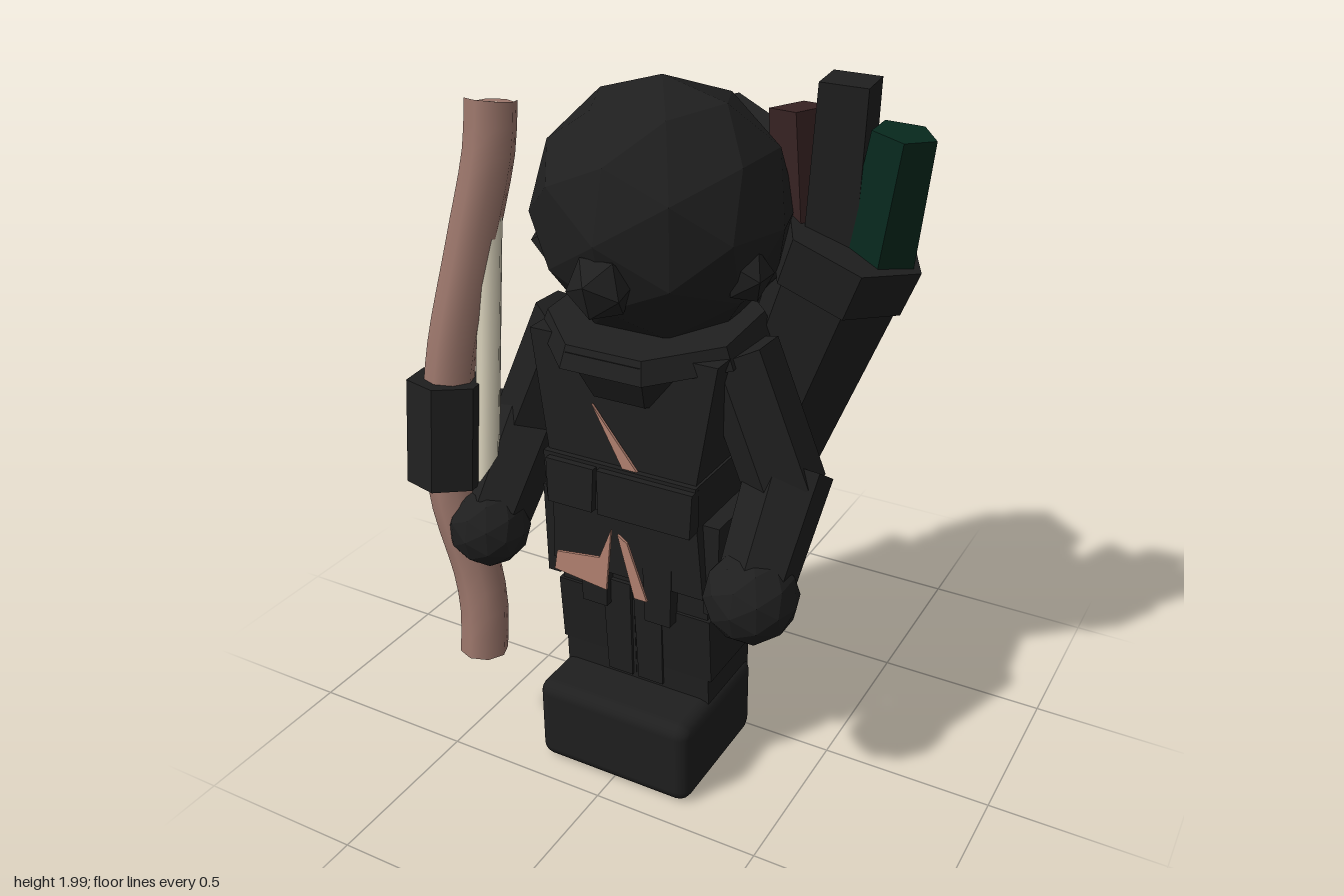
import * as THREE from 'three';
import { RoundedBoxGeometry } from 'three/addons/geometries/RoundedBoxGeometry.js';

const mat = (name, color) => {
  const m = new THREE.MeshStandardMaterial({ color });
  m.name = name;
  return m;
};
const V = (x, y, z) => new THREE.Vector3(x, y, z);

// Faceted copy of a geometry
function flat(geometry) {
  const g = geometry.index ? geometry.toNonIndexed() : geometry;
  g.computeVertexNormals();
  return g;
}

export function createModel() {
  const model = new THREE.Group();
  const cloth = mat('charcoal', 0x1f1f1f);
  const wood = mat('bowWood', 0x9a756a);
  const skin = mat('skin', 0xb48271);
  const cream = mat('cream', 0xd2cbb5);
  const green = mat('darkGreen', 0x08291e);
  const brown = mat('darkBrown', 0x372222);

  function add(name, geometry, material, x = 0, y = 0, z = 0) {
    const mesh = new THREE.Mesh(geometry, material);
    mesh.name = name;
    mesh.position.set(x, y, z);
    model.add(mesh);
    return mesh;
  }

  // Faceted prism running from point a to point b
  function prism(name, material, a, b, ra, rb, sides = 6, spin = 0) {
    const g = new THREE.CylinderGeometry(rb, ra, a.distanceTo(b), sides);
    g.rotateY(spin);
    const mesh = add(name, flat(g), material);
    mesh.position.copy(a).add(b).multiplyScalar(0.5);
    mesh.quaternion.setFromUnitVectors(V(0, 1, 0), b.clone().sub(a).normalize());
    return mesh;
  }

  // Box with different top and bottom sizes, between heights y0 and y1
  function block(name, material, x, z, y0, y1, bottom, top) {
    const g = new THREE.BoxGeometry(1, y1 - y0, 1);
    const p = g.attributes.position;
    for (let i = 0; i < p.count; i++) {
      const [w, d] = p.getY(i) > 0 ? top : bottom;
      p.setX(i, p.getX(i) * w);
      p.setZ(i, p.getZ(i) * d);
    }
    return add(name, flat(g), material, x, (y0 + y1) / 2, z);
  }

  // Thin flat patch facing forward
  function patch(name, points, z) {
    const shape = new THREE.Shape(points.map(([x, y]) => new THREE.Vector2(x, y)));
    add(name, new THREE.ExtrudeGeometry(shape, { depth: 0.008, bevelEnabled: false }), skin, 0, 0, z);
  }

  // Head, nose and ears
  add('head', flat(new THREE.IcosahedronGeometry(0.347, 1)), cloth, 0, 1.645, 0.095);
  const nose = add('nose', flat(new THREE.IcosahedronGeometry(0.09, 0)), cloth, 0, 1.535, 0.405);
  nose.rotation.x = 0.3;
  for (const s of [-1, 1]) {
    add('ear', flat(new THREE.IcosahedronGeometry(0.08, 0)), cloth, s * 0.27, 1.54, 0.17);
  }

  // Hood tail hanging behind the head
  prism('hoodTail', cloth, V(0, 1.27, -0.36), V(0, 1.77, -0.14), 0.15, 0.215);

  // Scarf: bowl under the chin with a nearly level rim
  prism('scarf', cloth, V(0, 1.19, 0.15), V(0, 1.34, 0.15), 0.2, 0.285, 8, Math.PI / 8);
  prism('scarfRim', cloth, V(0, 1.32, 0.135), V(0, 1.38, 0.14), 0.315, 0.29, 8, Math.PI / 8);

  // Torso, belt and skirt
  block('torso', cloth, 0, 0.165, 0.95, 1.34, [0.44, 0.34], [0.56, 0.31]);
  block('belt', cloth, 0, 0.17, 0.86, 1.0, [0.45, 0.37], [0.47, 0.36]);
  for (const x of [-0.14, 0.02, 0.16]) {
    block('beltPouch', cloth, x, 0.35, 0.86, 0.99, [0.14, 0.05], [0.15, 0.04]);
  }
  block('skirt', cloth, 0, 0.16, 0.64, 0.87, [0.48, 0.31], [0.45, 0.33]);

  // Ragged hem panels
  [
    [-0.25, 0.18, 0.58, 0.05, 0.24], [0.25, 0.16, 0.58, 0.05, 0.26],
    [0.1, 0.3, 0.52, 0.1, 0.04], [-0.11, 0.29, 0.52, 0.1, 0.04],
    [-0.13, 0.0, 0.5, 0.14, 0.04], [0.13, 0.01, 0.55, 0.16, 0.04]
  ].forEach(([x, z, y, w, d]) => block('hemPanel', cloth, x, z, y, 0.86, [w * 0.8, d], [w, d]));

  // Skin showing through torn cloth
  patch('chestGap', [[-0.08, 1.17], [0.01, 1.0], [0.055, 1.0]], 0.335);
  patch('hipGap', [[-0.22, 0.62], [-0.05, 0.6], [-0.03, 0.8], [-0.07, 0.7], [-0.21, 0.68]], 0.335);
  patch('thighGap', [[0.04, 0.6], [0.08, 0.6], [0.02, 0.77], [-0.01, 0.79]], 0.335);

  // Boots, side by side
  add('boots', new RoundedBoxGeometry(0.495, 0.265, 0.425, 2, 0.04), cloth, 0, 0.135, 0.212);

  for (const s of [-1, 1]) {
    // Leg and wraps
    block('leg', cloth, s * 0.118, 0.14, 0.2, 0.68, [0.235, 0.25], [0.235, 0.28]);
    block('kneeWrap', cloth, s * 0.13, 0.14, 0.34, 0.55, [0.23, 0.26], [0.23, 0.29]);
    block('legStrip', cloth, s * 0.05, 0.14, 0.28, 0.6, [0.08, 0.27], [0.09, 0.3]);

    // Arm, sleeve cuff and hand
    const elbow = V(s * 0.405, 0.96, 0.16);
    const hand = s > 0 ? V(0.39, 0.71, 0.325) : V(-0.42, 0.72, 0.37);
    prism('upperArm', cloth, elbow, V(s * 0.25, 1.32, 0.15), 0.11, 0.11, 6);
    prism('sleeve', cloth, hand.clone().lerp(elbow, 0.15), elbow.clone().add(V(0, 0.05, -0.03)), 0.105, 0.118, 6);
    const size = s > 0 ? 0.13 : 0.118;
    add('hand', flat(new THREE.IcosahedronGeometry(size, 1)), cloth, hand.x, hand.y, hand.z);
  }

  // Quiver leaning outward on the back
  const quiverTop = V(0.455, 1.585, -0.1);
  const quiverBottom = V(0.1, 0.61, -0.13);
  const turn = Math.PI / 6;
  prism('quiver', cloth, quiverBottom, quiverTop, 0.145, 0.185, 6, turn);
  prism('quiverCollar', cloth, quiverBottom.clone().lerp(quiverTop, 0.87), quiverTop, 0.195, 0.2, 6, turn);

  // Rolled contents of the quiver
  [
    ['brownRoll', brown, V(0.33, 1.45, -0.1), V(0.285, 1.9, -0.11), 0.09, 0.08, 4, 0.3],
    ['darkRoll', cloth, V(0.4, 1.42, -0.1), V(0.43, 1.99, -0.085), 0.1, 0.09, 4, 0.9],
    ['greenRoll', green, V(0.515, 1.48, -0.1), V(0.575, 1.875, -0.09), 0.1, 0.085, 5, 0.35]
  ].forEach((roll) => prism(...roll));

  // Bow: curved stave, end rings, string and grip
  const curve = new THREE.CatmullRomCurve3([
    V(-0.44, 1.905, 0.215), V(-0.44, 1.78, 0.235), V(-0.485, 1.52, 0.28), V(-0.535, 1.22, 0.335),
    V(-0.545, 1.0, 0.365), V(-0.525, 0.8, 0.385), V(-0.46, 0.56, 0.385), V(-0.44, 0.44, 0.395), V(-0.44, 0.31, 0.41)
  ]);
  add('bowStave', new THREE.TubeGeometry(curve, 24, 0.07, 8, false), wood);
  for (const [t, s] of [[0, 1], [1, -1]]) {
    const p = curve.getPoint(t);
    const cap = add('bowEnd', new THREE.CircleGeometry(0.068, 8), wood, p.x, p.y - s * 0.015, p.z);
    cap.rotation.x = -s * Math.PI / 2;
  }
  const stringTop = V(-0.437, 1.895, 0.22);
  const stringEnd = V(-0.437, 0.32, 0.405);
  const string = add('bowString', new THREE.CylinderGeometry(0.034, 0.034, stringTop.distanceTo(stringEnd), 8), cream);
  string.position.copy(stringTop).add(stringEnd).multiplyScalar(0.5);
  string.quaternion.setFromUnitVectors(V(0, 1, 0), stringTop.clone().sub(stringEnd).normalize());
  prism('bowGrip', cloth, V(-0.545, 0.845, 0.385), V(-0.545, 1.145, 0.35), 0.113, 0.113, 6, 0.25);

  return model;
}
